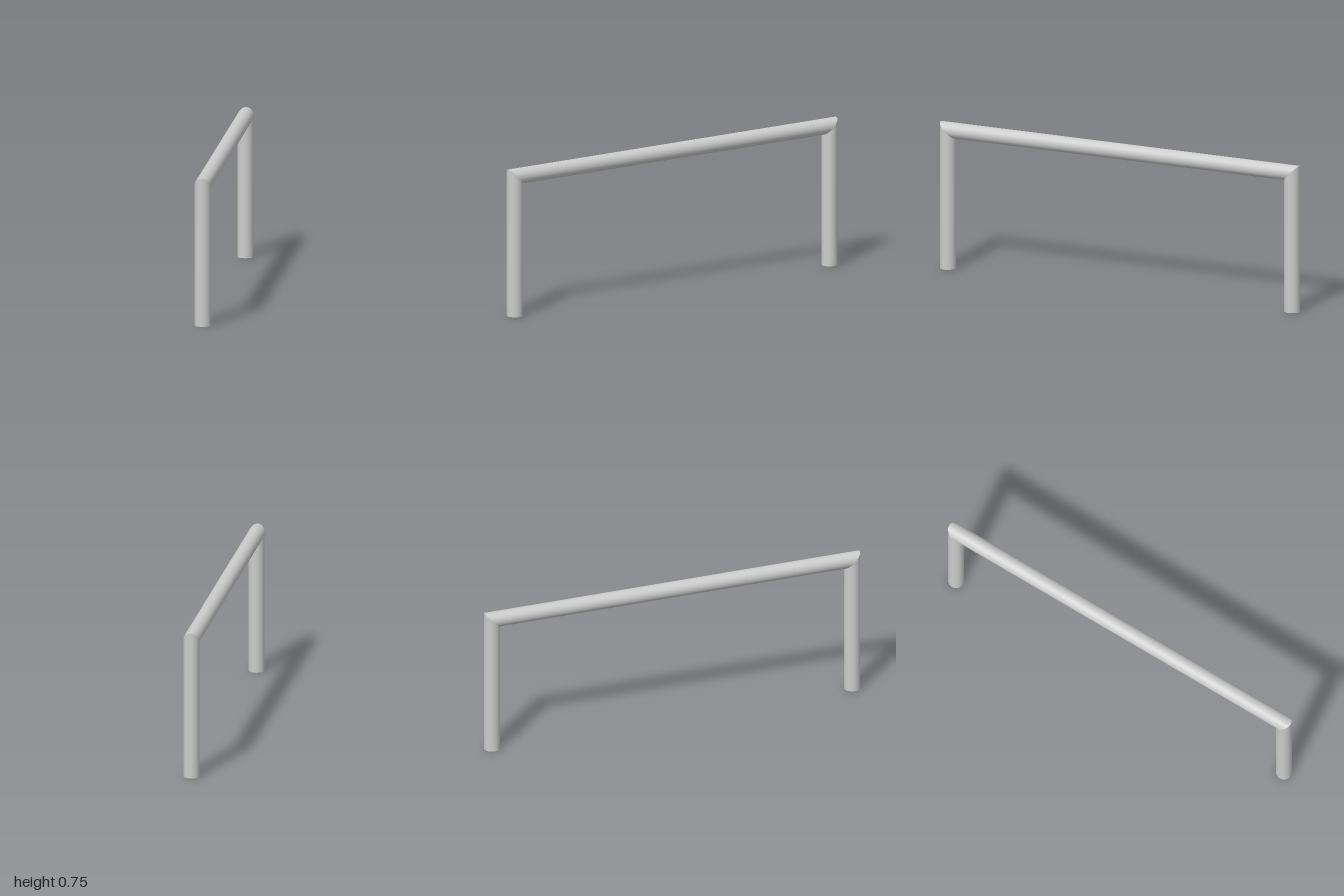
import * as THREE from 'three';

const R = 0.04;          // tube radius
const AXIS_Y = 0.71;     // height of the crossbar axis
const AXIS_Z = 0.96;     // distance of each leg axis from the centre
const SIDES = 48;

// Move every vertex of a geometry by a rule
function reshape(geometry, rule) {
  const p = geometry.attributes.position;
  const v = new THREE.Vector3();
  for (let i = 0; i < p.count; i++) {
    rule(v.fromBufferAttribute(p, i));
    p.setXYZ(i, v.x, v.y, v.z);
  }
  return geometry;
}

export function createModel() {
  const model = new THREE.Group();
  model.name = 'tubeFrame';
  const material = new THREE.MeshStandardMaterial({ color: 0xcccccc });

  // Crossbar along z, both ends cut at 45 degrees
  const barGeometry = new THREE.CylinderGeometry(R, R, 2 * AXIS_Z, SIDES, 1, true).rotateX(Math.PI / 2);
  reshape(barGeometry, (v) => { v.z += Math.sign(v.z) * v.y; });
  const bar = new THREE.Mesh(barGeometry, material);
  bar.name = 'crossbar';
  bar.position.y = AXIS_Y;
  model.add(bar);

  // Legs: flat foot, top cut at 45 degrees to meet the crossbar
  const legGeometry = new THREE.CylinderGeometry(R, R, AXIS_Y, SIDES, 1, true).translate(0, AXIS_Y / 2, 0);
  reshape(legGeometry, (v) => { if (v.y > AXIS_Y / 2) v.y += v.z; });
  const footGeometry = new THREE.CircleGeometry(R, SIDES).rotateX(Math.PI / 2);

  for (const side of [1, -1]) {
    const leg = new THREE.Group();
    leg.name = side > 0 ? 'frontLeg' : 'backLeg';
    const tube = new THREE.Mesh(legGeometry, material);
    tube.name = 'legTube';
    const foot = new THREE.Mesh(footGeometry, material);
    foot.name = 'legFoot';
    leg.add(tube, foot);
    leg.position.z = side * AXIS_Z;
    if (side < 0) leg.rotation.y = Math.PI;
    model.add(leg);
  }
  return model;
}
